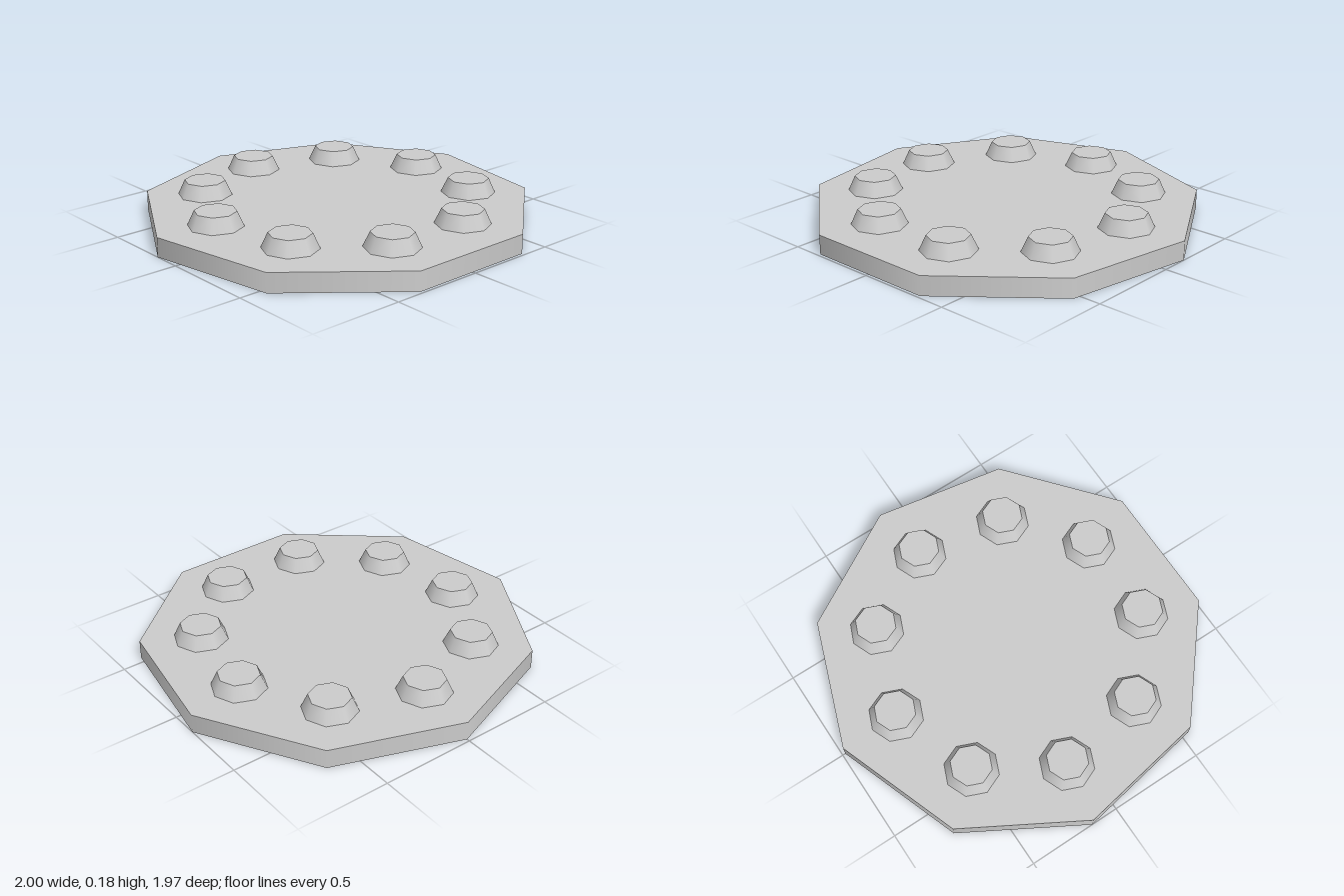
import * as THREE from 'three';

export function createModel() {
  const group = new THREE.Group();
  const material = new THREE.MeshStandardMaterial({ color: 0xcccccc });

  const SIDES = 9;
  const RADIUS = 1 / Math.sin((80 * Math.PI) / 180); // widest corners reach x = ±1
  const CENTRE_Z = RADIUS * (1 - Math.cos(Math.PI / SIDES)) / 2;
  const PLATE_HEIGHT = 0.102;
  const STUD_HEIGHT = 0.077;
  const STUD_RING = 0.7;

  // Nine-sided plate with one corner pointing to the back
  const plate = new THREE.Mesh(
    new THREE.CylinderGeometry(RADIUS, RADIUS, PLATE_HEIGHT, SIDES, 1, false, Math.PI),
    material
  );
  plate.name = 'basePlate';
  plate.position.set(0, PLATE_HEIGHT / 2, CENTRE_Z);
  group.add(plate);

  // Ring of tapered octagonal studs, one towards each corner
  const studGeometry = new THREE.CylinderGeometry(0.107, 0.142, STUD_HEIGHT, 8);
  for (let i = 0; i < SIDES; i++) {
    const angle = Math.PI + (i * 2 * Math.PI) / SIDES;
    const stud = new THREE.Mesh(studGeometry, material);
    stud.name = `stud${i + 1}`;
    stud.position.set(
      STUD_RING * Math.sin(angle),
      PLATE_HEIGHT + STUD_HEIGHT / 2,
      CENTRE_Z + STUD_RING * Math.cos(angle)
    );
    group.add(stud);
  }

  return group;
}
